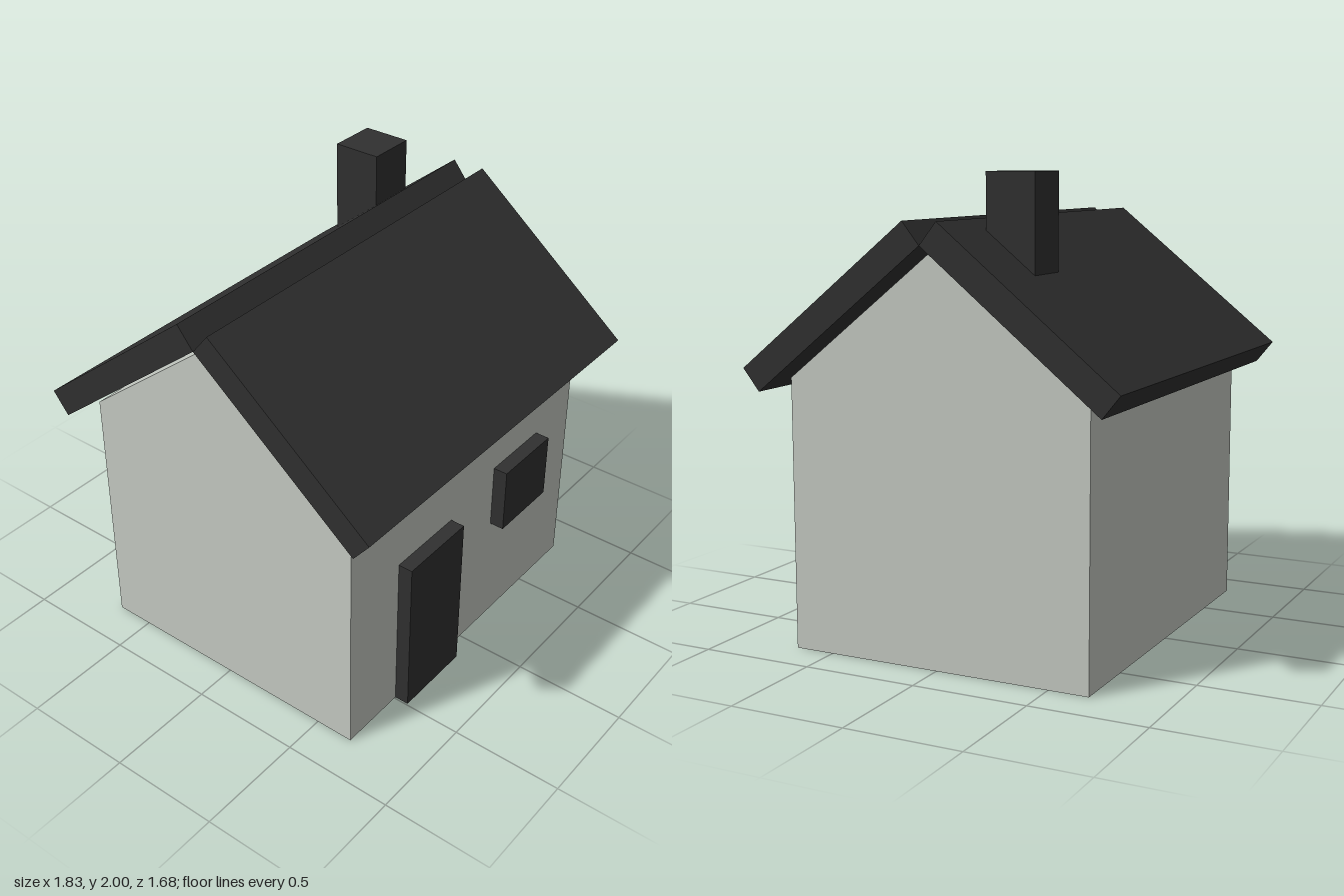
import * as THREE from 'three';

export function createModel() {
  const house = new THREE.Group();
  house.name = 'house';
  const wallPaint = new THREE.MeshStandardMaterial({ color: 0xc4c9c2 });
  wallPaint.name = 'paleGrey';
  const darkPaint = new THREE.MeshStandardMaterial({ color: 0x303030 });
  darkPaint.name = 'charcoal';

  const add = (name, geometry, material) => {
    const mesh = new THREE.Mesh(geometry, material);
    mesh.name = name;
    house.add(mesh);
    return mesh;
  };

  // Box given by its lower and upper corners
  const box = (name, [x0, y0, z0], [x1, y1, z1]) => {
    const mesh = add(name, new THREE.BoxGeometry(x1 - x0, y1 - y0, z1 - z0), darkPaint);
    mesh.position.set((x0 + x1) / 2, (y0 + y1) / 2, (z0 + z1) / 2);
  };

  // Gabled body: the end profile drawn in (z, y) and extruded along x
  const width = 1.625;
  const gable = new THREE.Shape(
    [[-0.675, 0], [0.675, 0], [0.675, 1.157], [0, 1.697], [-0.675, 1.157]]
      .map(([z, y]) => new THREE.Vector2(z, y)));
  const body = new THREE.ExtrudeGeometry(gable, { depth: width, bevelEnabled: false });
  body.translate(0, 0, -width / 2).rotateY(-Math.PI / 2);
  add('walls', body, wallPaint);

  // Two sloping roof slabs whose lower edges meet at the ridge
  const pitch = Math.atan2(0.615, 0.765);
  for (const side of [1, -1]) {
    const slab = new THREE.BoxGeometry(1.83, 0.12, 0.98);
    slab.translate(0, 0.06, side * 0.49).rotateX(side * pitch).translate(0, 1.72, 0);
    add(side > 0 ? 'frontRoof' : 'backRoof', slab, darkPaint);
  }

  box('chimney', [0.397, 1.42, -0.345], [0.613, 2, -0.13]);
  box('door', [-0.493, 0, 0.62], [-0.12, 0.748, 0.74]);
  box('window', [0.2, 0.528, 0.62], [0.541, 0.832, 0.74]);

  return house;
}
